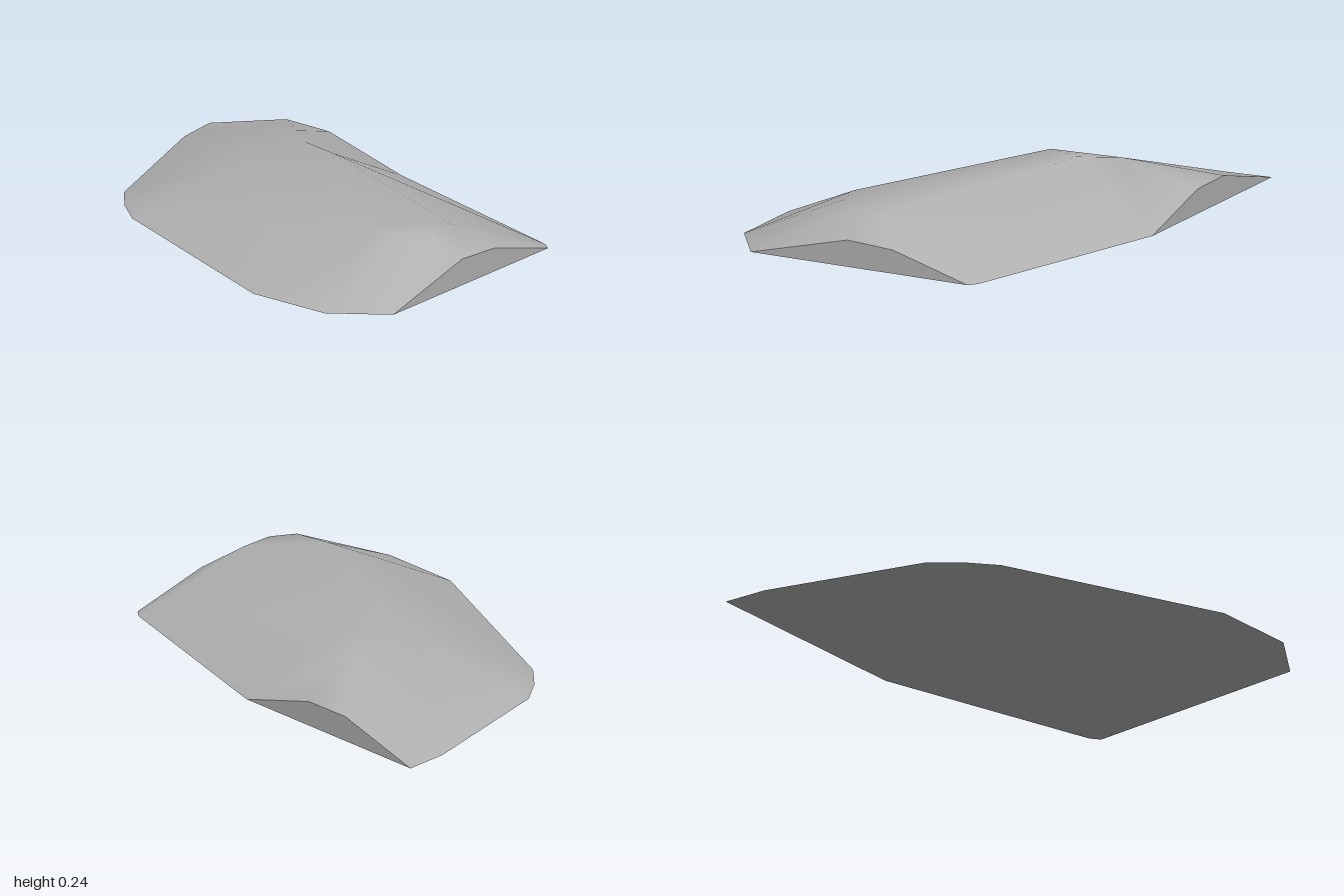
import * as THREE from 'three';

export function createModel() {
  const group = new THREE.Group();
  group.name = 'rock';
  const stone = new THREE.MeshStandardMaterial({ color: 0xb0b0b0 });
  stone.name = 'stone grey';

  // Rim of the slab, anticlockwise from above
  const rim = [
    [-1, 0, -0.74], [-0.98, 0, -0.55], [-0.76, 0, 0.12], [-0.66, 0, 0.24], [-0.54, 0, 0.34],
    [0.4, 0, 0.73], [0.77, 0, 0.73], [1, 0, 0.57], [1, 0.113, 0.12], [1, 0.1, -0.09],
    [1, 0, -0.44], [0.96, 0, -0.47], [0, 0, -0.74], [-0.38, 0.105, -0.74], [-0.6, 0.107, -0.74],
  ];
  // Crest of the slab (points 15 to 22)
  const crest = [
    [-0.3, 0.215, -0.43], [-0.15, 0.237, -0.3], [-0.3, 0.205, -0.1], [0.65, 0.215, 0.28],
    [0.8, 0.215, 0.25], [0.88, 0.2, 0.17], [0.86, 0.205, 0.02], [0.02, 0.235, -0.27],
  ];
  const points = [...rim, ...crest];

  const addPart = (name, corners, faces) => {
    const geometry = new THREE.BufferGeometry();
    geometry.setAttribute('position', new THREE.Float32BufferAttribute(corners.flat(), 3));
    geometry.setIndex(faces.flat());
    geometry.computeVertexNormals();
    const mesh = new THREE.Mesh(geometry, stone);
    mesh.name = name;
    group.add(mesh);
  };

  // Flat polygon as a triangle fan
  const addFlat = (name, ids) => addPart(name, ids.map((i) => points[i]),
    ids.slice(2).map((_, i) => [0, i + 1, i + 2]));

  // Softly shaded slopes and top
  addPart('weatheredTop', points, [
    // left slope
    [0, 1, 14], [1, 2, 17], [1, 17, 15], [1, 15, 14], [13, 14, 15],
    // front slope
    [2, 3, 17], [3, 4, 17], [4, 5, 18], [4, 18, 17], [5, 6, 18], [6, 19, 18],
    // right end
    [6, 7, 19], [7, 20, 19], [7, 8, 20], [8, 9, 21], [8, 21, 20], [9, 10, 21],
    // back slope
    [10, 11, 21], [11, 12, 22], [11, 22, 21], [12, 13, 15], [12, 15, 16], [12, 16, 22],
    // crest
    [15, 17, 16], [17, 18, 22], [17, 22, 16], [18, 21, 22], [18, 19, 21], [19, 20, 21],
  ]);

  // Upright cut faces and underside
  addFlat('sideCut', [7, 10, 9, 8]);
  addFlat('backCut', [12, 0, 14, 13]);
  addFlat('underside', [12, 11, 10, 7, 6, 5, 4, 3, 2, 1, 0]);

  return group;
}
